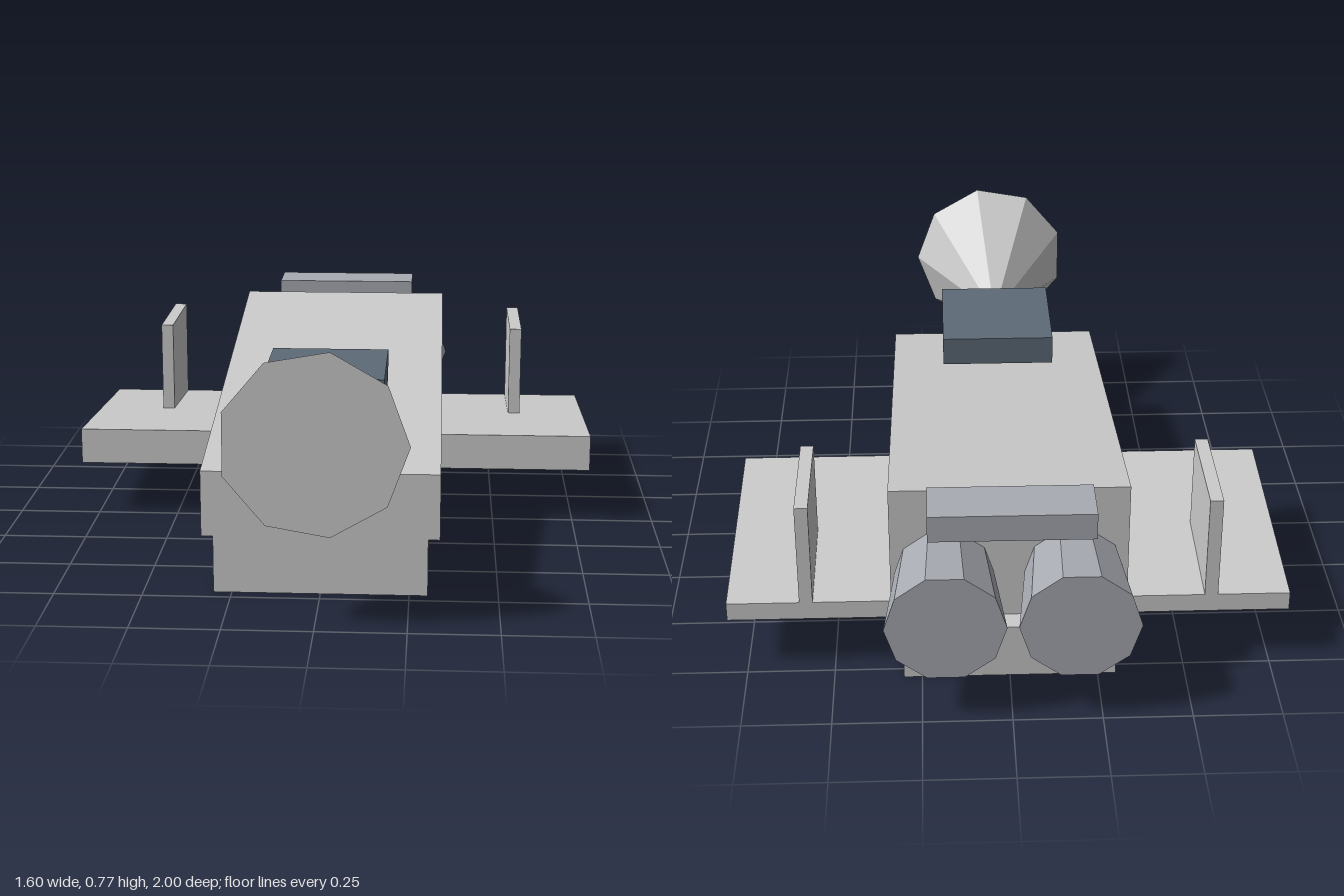
import * as THREE from 'three';

const paint = (color) => new THREE.MeshStandardMaterial({ color, flatShading: true });
const grey = paint(0xcccccc);
const steel = paint(0xa8abb3);
const slate = paint(0x5d6a76);

// Box given by its min and max corners
function block(name, [x0, y0, z0], [x1, y1, z1], material = grey) {
  const mesh = new THREE.Mesh(new THREE.BoxGeometry(x1 - x0, y1 - y0, z1 - z0), material);
  mesh.position.set((x0 + x1) / 2, (y0 + y1) / 2, (z0 + z1) / 2);
  mesh.name = name;
  return mesh;
}

// Side profile in [z, y] points, extruded across x and centred on x
function prism(name, profile, width, x = 0) {
  const shape = new THREE.Shape(profile.map(([z, y]) => new THREE.Vector2(z, y)));
  const geometry = new THREE.ExtrudeGeometry(shape, { depth: width, bevelEnabled: false });
  geometry.translate(0, 0, -width / 2).rotateY(-Math.PI / 2);
  const mesh = new THREE.Mesh(geometry, grey);
  mesh.position.x = x;
  mesh.name = name;
  return mesh;
}

// Faceted frustum along z, with one corner pointing to +x
function frustum(name, rBack, rFront, zBack, zFront, sides, x, y, material) {
  const geometry = new THREE.CylinderGeometry(rBack, rFront, zFront - zBack, sides);
  geometry.rotateY(Math.PI / 2).rotateX(-Math.PI / 2);
  const mesh = new THREE.Mesh(geometry, material);
  mesh.position.set(x, y, (zBack + zFront) / 2);
  mesh.name = name;
  return mesh;
}

export function createModel() {
  const model = new THREE.Group();
  model.name = 'spacecraft';

  // Hull: flat keel with a wedge that rises to the rear
  model.add(block('keel', [-0.302, 0, -0.79], [0.302, 0.165, 0.71]));
  model.add(prism('hull', [[0.71, 0.165], [0.71, 0.355], [-0.725, 0.578], [-0.725, 0.165]], 0.67));

  // Cockpit slab and the nose cone that flares forward from it
  model.add(block('cockpit', [-0.173, 0.5, 0.19], [0.173, 0.588, 0.568], slate));
  model.add(frustum('noseCone', 0, 0.255, 0.53, 1, 9, 0, 0.515, grey));

  // Bar above the engines
  model.add(block('rearBar', [-0.228, 0.532, -0.917], [0.228, 0.61, -0.762], steel));

  // Mirrored wings, fins and engines
  for (const [side, s] of [['left', 1], ['right', -1]]) {
    const wing = [[0.005, 0.165], [0.005, 0.275], [-0.728, 0.22], [-0.728, 0.165]];
    model.add(prism(side + 'Wing', wing, 0.465, s * 0.5675));
    const fin = block(side + 'Fin', [-0.019, 0.21, -0.728], [0.019, 0.53, -0.378]);
    fin.position.x = s * 0.575;
    model.add(fin);
    model.add(frustum(side + 'Engine', 0.167, 0.14, -1, -0.725, 10, s * 0.183, 0.308, steel));
  }
  return model;
}
